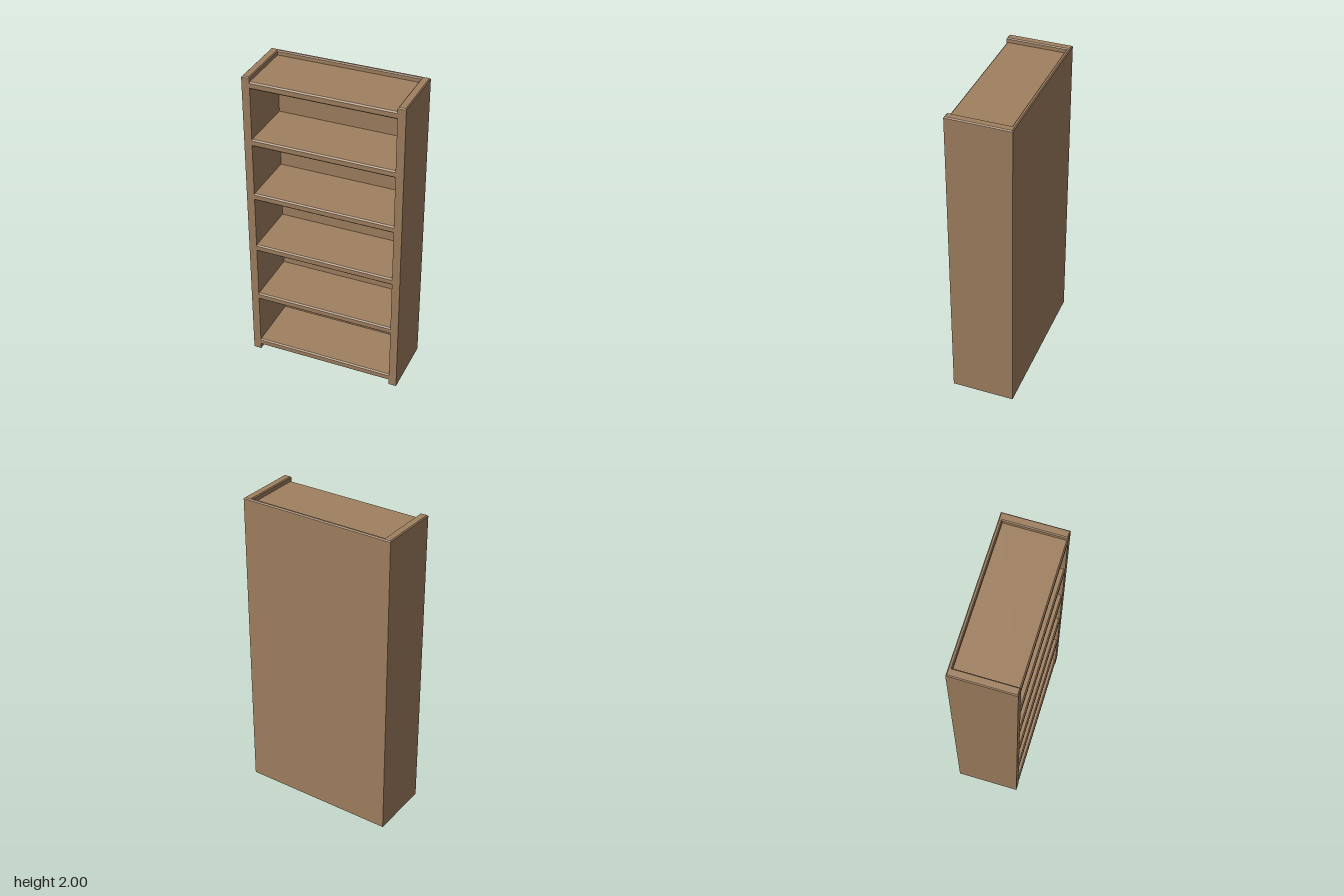
import * as THREE from 'three';

const W = 0.5, D = 0.2, H = 2; // half width, half depth, height
const SIDE = 0.05, BACK = 0.023, BEVEL = 0.006;

const wood = new THREE.MeshStandardMaterial({ color: 0xa08060 });
wood.name = 'brown wood';

function polygon(points) {
  return new THREE.Shape(points.map(([x, y]) => new THREE.Vector2(x, y)));
}

// Side and back boards: a U-shaped plan with softened edges, open to the front
function makeCarcass() {
  const b = BEVEL, xo = W - b, xi = W - SIDE + b;
  const plan = polygon([
    [-xo, -D + b], [-xi, -D + b], [-xi, D - BACK + b], [xi, D - BACK + b],
    [xi, -D + b], [xo, -D + b], [xo, D - b], [-xo, D - b],
  ]);
  const geometry = new THREE.ExtrudeGeometry(plan, {
    depth: H - 2 * b, bevelEnabled: true, bevelSize: b, bevelThickness: b, bevelSegments: 1,
  });
  geometry.rotateX(-Math.PI / 2).translate(0, b, 0);
  const mesh = new THREE.Mesh(geometry, wood);
  mesh.name = 'sideAndBackPanels';
  return mesh;
}

// Shelf board: section with a chamfered front edge, run between the sides
function makeShelfGeometry() {
  const t = 0.023, b = 0.008, back = -D + BACK - 0.005, length = 2 * (W - SIDE) + 0.004;
  const section = polygon([
    [-D, -t + b], [-D + b, -t], [-back, -t], [-back, t], [-D + b, t], [-D, t - b],
  ]);
  const geometry = new THREE.ExtrudeGeometry(section, { depth: length, bevelEnabled: false });
  return geometry.translate(0, 0, -length / 2).rotateY(Math.PI / 2);
}

export function createModel() {
  const model = new THREE.Group();
  model.name = 'bookcase';
  model.add(makeCarcass());

  const shelfGeometry = makeShelfGeometry();
  for (let i = 0; i < 6; i++) {
    const shelf = new THREE.Mesh(shelfGeometry, wood);
    shelf.name = `shelf${i + 1}`;
    shelf.position.y = 0.059 + i * 0.3777;
    model.add(shelf);
  }
  return model;
}
